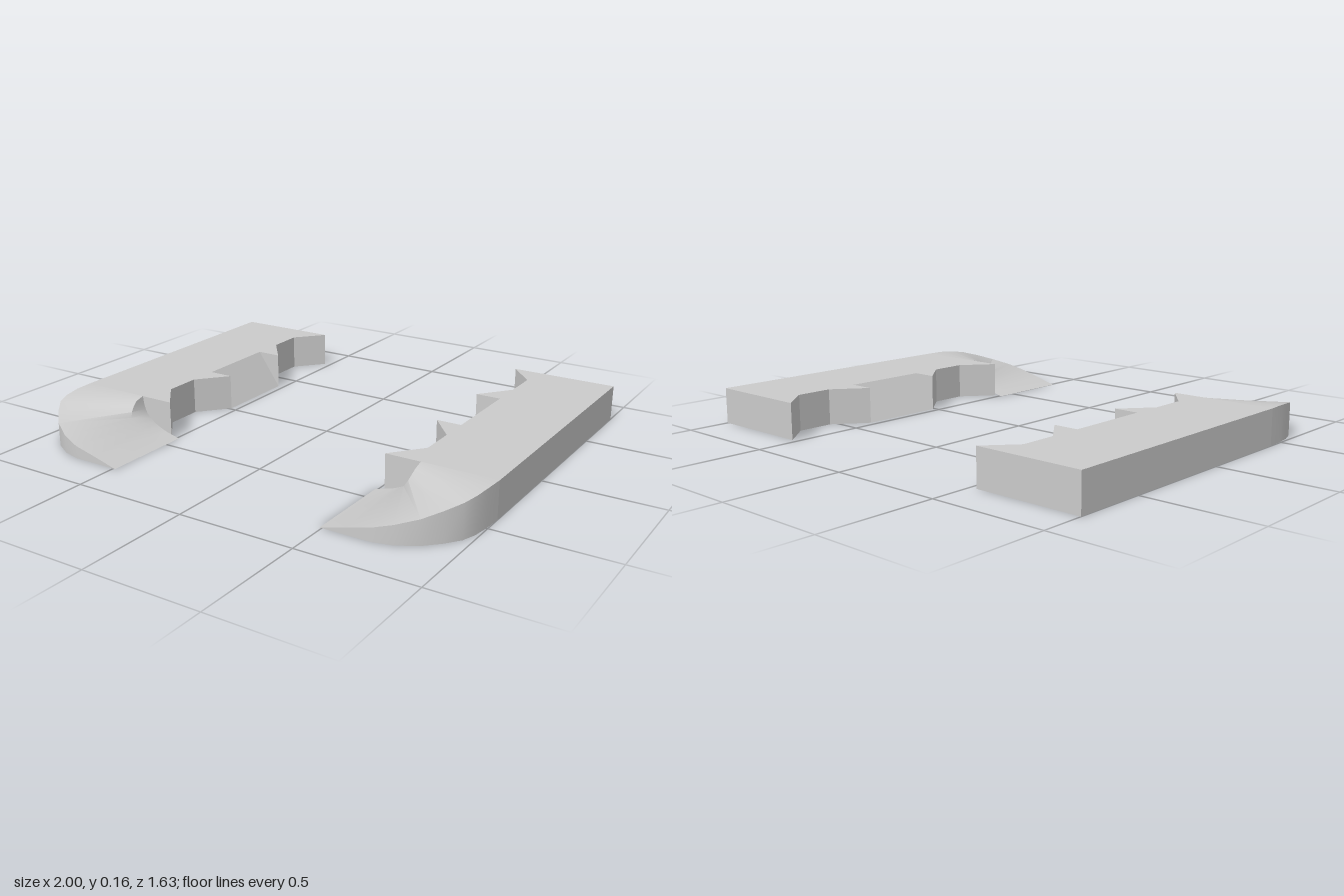
import * as THREE from 'three';
import { toCreasedNormals } from 'three/addons/utils/BufferGeometryUtils.js';

const H = 0.157; // height of the top deck
const material = new THREE.MeshStandardMaterial({ color: 0xcccccc, side: THREE.DoubleSide });

// Ruled surface through rows of equally many [x, y, z] points
function loft(name, ...rows) {
  const pos = [];
  for (let r = 0; r + 1 < rows.length; r++) {
    const a = rows[r], b = rows[r + 1];
    for (let i = 0; i + 1 < a.length; i++) {
      pos.push(...a[i], ...a[i + 1], ...b[i + 1], ...a[i], ...b[i + 1], ...b[i]);
    }
  }
  const g = new THREE.BufferGeometry();
  g.setAttribute('position', new THREE.Float32BufferAttribute(pos, 3));
  return mesh(name, toCreasedNormals(g, 0.6));
}

function mesh(name, geometry) {
  const m = new THREE.Mesh(geometry, material);
  m.name = name;
  return m;
}

// Vertical wall standing on the ground below a run of top points
const wall = (name, top) => loft(name, top.map(([x, , z]) => [x, 0, z]), top);
const atTop = (pts) => pts.map(([x, z]) => [x, H, z]);

function createRail() {
  const rail = new THREE.Group();

  // Plan outlines [x, z] of the notched inner edge, behind and ahead of the slope
  const rearNotch = [[0.53, -0.815], [0.64, -0.69], [0.64, -0.53], [0.53, -0.39]];
  const frontNotch = [[0.53, -0.01], [0.64, 0.12], [0.64, 0.28], [0.53, 0.417]];

  // Flat top deck
  const plan = [[1, -0.815], ...rearNotch, [0.64, -0.39], [0.64, -0.01], ...frontNotch, [0.683, 0.417], [1, 0.417]];
  const deck = new THREE.ShapeGeometry(new THREE.Shape(plan.map(([x, z]) => new THREE.Vector2(x, -z))));
  rail.add(mesh('topDeck', deck.rotateX(-Math.PI / 2).translate(0, H, 0)));

  // Straight walls and notched inner walls
  rail.add(wall('outerSideWall', atTop([[1, 0.417], [1, -0.815]])));
  rail.add(wall('rearWall', atTop([[1, -0.815], [0.53, -0.815]])));
  rail.add(wall('rearNotchWall', atTop(rearNotch)));
  rail.add(wall('frontNotchWall', atTop(frontNotch)));

  // Sloped inner panel with a triangular cheek at each end
  rail.add(loft('slopedPanel',
    [[0.53, 0, -0.39], [0.53, 0, -0.01]],
    [[0.64, H, -0.39], [0.64, H, -0.01]]));
  for (const z of [-0.39, -0.01]) {
    rail.add(loft('slopeCheek', [[0.53, 0, z], [0.64, H, z]], [[0.53, H, z], [0.64, H, z]]));
  }

  // Rounded nose: ramp twisting down from the deck to the ground
  const rim = [[0.49, 0, 0.815], [0.6, 0.03, 0.815], [0.7, 0.055, 0.815], [0.78, 0.078, 0.795], [0.86, 0.102, 0.75],
    [0.92, 0.125, 0.69], [0.965, 0.143, 0.63], [0.985, 0.152, 0.57], [0.995, H, 0.5], [1, H, 0.417]];
  const bend = [[0.49, 0, 0.52], [0.57, 0.022, 0.52], [0.61, 0.045, 0.52], [0.64, 0.068, 0.52], [0.665, 0.09, 0.515],
    [0.675, 0.11, 0.5], [0.68, 0.13, 0.48], [0.683, 0.145, 0.46], [0.683, 0.152, 0.44], [0.683, H, 0.417]];
  const root = [[0.49, 0], [0.56, 0.018], [0.59, 0.03], [0.62, 0.045], [0.64, 0.06],
    [0.66, 0.08], [0.67, 0.1], [0.677, 0.12], [0.68, 0.14], [0.683, H]].map(([x, y]) => [x, y, 0.417]);
  rail.add(loft('noseRamp', rim, bend, root));
  rail.add(wall('noseWall', rim));

  // Upright face behind the foot of the ramp
  const foot = root.map(([x, y, z]) => [Math.max(x, 0.53), y, z]);
  rail.add(loft('rampBackWall', foot, foot.map(([x, , z]) => [x, H, z])));
  return rail;
}

export function createModel() {
  const model = new THREE.Group();
  for (const side of [1, -1]) {
    const rail = createRail();
    rail.name = side > 0 ? 'leftRail' : 'rightRail';
    rail.scale.x = side;
    model.add(rail);
  }
  return model;
}
